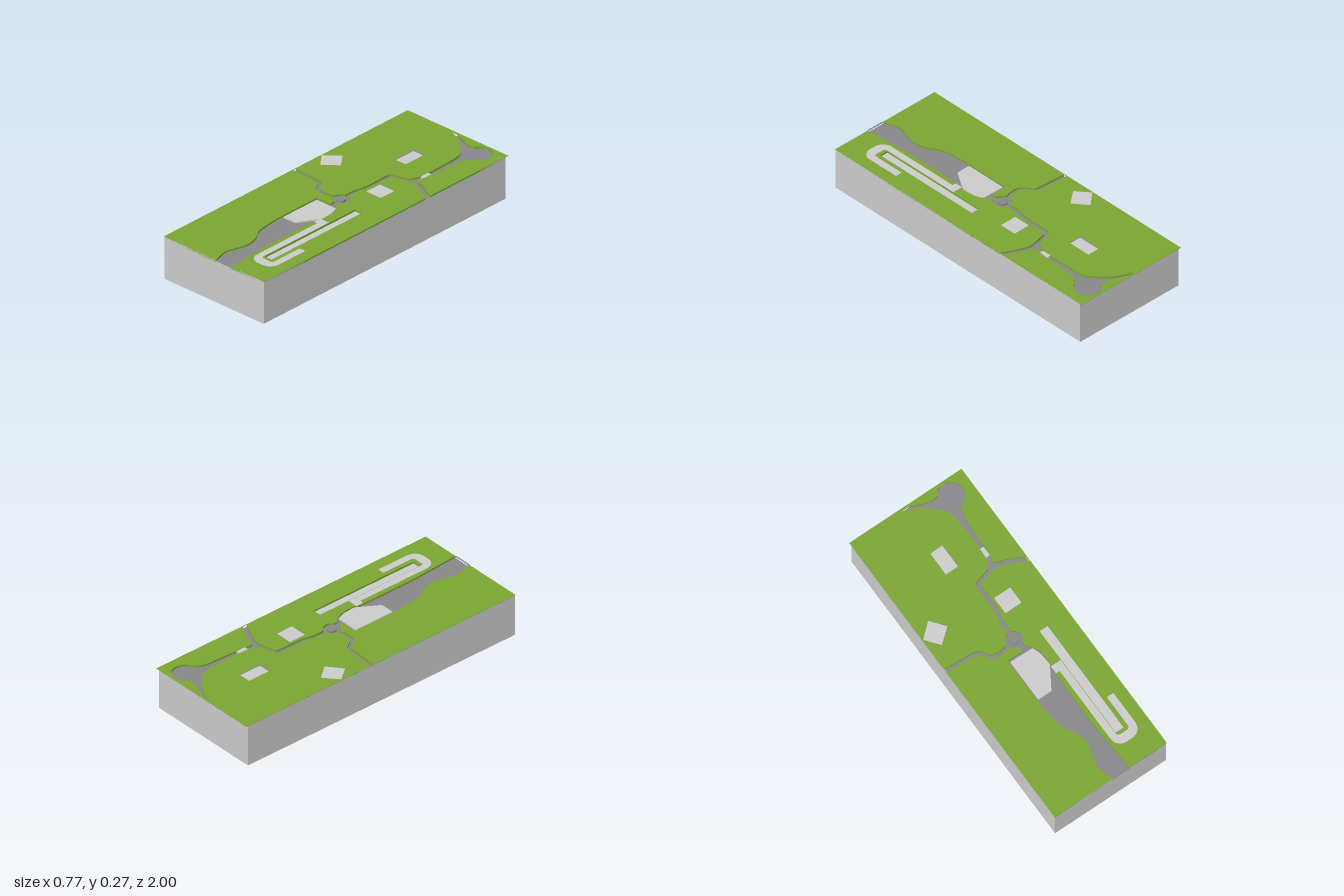
import * as THREE from 'three';

const mat = (name, color) => {
  const m = new THREE.MeshStandardMaterial({ color });
  m.name = name;
  return m;
};

// ground levels
const FLOOR = 0.258, TOP = 0.271, PIT = 0.16;
const X = 0.38, BACK = -0.985, FRONT = 0.995;

const rect = (x0, z0, x1, z1) => [[x0, z0], [x1, z0], [x1, z1], [x0, z1]];
const arc = (cx, cz, r, a0, a1, n = 8) => Array.from({ length: n + 1 }, (_, i) => {
  const a = THREE.MathUtils.degToRad(a0 + (a1 - a0) * i / n);
  return [cx + r * Math.cos(a), cz + r * Math.sin(a)];
});
// smooth line through a few plan points
const smooth = (pts, n = 4) => new THREE.SplineCurve(pts.map(p => new THREE.Vector2(...p)))
  .getPoints((pts.length - 1) * n).map(p => [p.x, p.y]);

// plan outline [x, z] raised from y0 to y1
function slab(name, outline, y0, y1, material, holes = []) {
  const v = pts => pts.map(([x, z]) => new THREE.Vector2(x, -z));
  const shape = new THREE.Shape(v(outline));
  holes.forEach(h => shape.holes.push(new THREE.Path(v(h))));
  const geo = new THREE.ExtrudeGeometry(shape, { depth: y1 - y0, bevelEnabled: false });
  geo.rotateX(-Math.PI / 2).translate(0, y0, 0);
  const mesh = new THREE.Mesh(geo, material);
  mesh.name = name;
  return mesh;
}

export function createModel() {
  const group = new THREE.Group();
  group.name = 'terrainBlock';
  const stone = mat('light grey', 0xcbcbcb);
  const grass = mat('grass green', 0x7ba532);
  const asphalt = mat('road grey', 0x878688);
  const add = (...args) => group.add(slab(...args));

  // block with a long pit, and a thin rim around the recessed surface
  const pit = rect(0.185, 0.04, 0.24, 0.78);
  const pitOuter = rect(0.183, 0.038, 0.242, 0.782);
  const outer = rect(-X, BACK, X, FRONT);
  const inner = rect(-X + 0.002, BACK + 0.002, X - 0.002, FRONT - 0.002);
  add('baseBottom', outer, 0, PIT, stone);
  add('baseUpper', outer, PIT, FLOOR, stone, [pitOuter]);
  add('baseRim', outer, FLOOR, TOP - 0.002, stone, [inner]);
  add('pitLining', pitOuter, PIT, TOP, grass, [pit]);
  add('roadSurface', inner, FLOOR, FLOOR + 0.001, asphalt, [pitOuter]);
  add('frontRoadEnd', rect(0.015, FRONT - 0.002, 0.13, 1), TOP - 0.004, TOP - 0.001, asphalt);
  add('backGrassLip', rect(-0.384, -1, 0.384, BACK), TOP - 0.002, TOP, grass);
  for (const s of [-1, 1])
    add('sideGrassLip', rect(s * 0.382 - 0.002, BACK, s * 0.382 + 0.002, FRONT), TOP - 0.002, TOP, grass);

  // lawns between the recessed roads
  const house = rect(-0.05, -0.69, 0.035, -0.535);
  const hub = [0.04, 0];
  add('northWestLawn', [
    [-X, BACK],
    ...smooth([[-0.04, BACK], [0.02, -0.962], [0.09, -0.92], [0.16, -0.85], [0.187, -0.79],
      [0.192, -0.68], [0.195, -0.55], [0.18, -0.46], [0.16, -0.425]]),
    ...smooth([[0.09, -0.407], [0.06, -0.395], [0.046, -0.36], [0.046, -0.2], [0.03, -0.12], [0.03, -0.05]]),
    ...arc(...hub, 0.05, -105, -170),
    ...smooth([[-0.02, 0.003], [-0.06, 0.01], [-0.11, 0.005], [-0.14, -0.03], [-0.17, -0.062], [-0.25, -0.072], [-X, -0.08]]),
  ], FLOOR, TOP, grass, [house]);
  add('northEastLawn', [
    ...smooth([[0.01, BACK], [0.06, -0.965], [0.13, -0.94], [0.185, -0.945]]),
    ...arc(0.245, -0.905, 0.08, -130, 65, 16),
    ...smooth([[0.25, -0.805], [0.232, -0.75], [0.225, -0.6], [0.218, -0.5], [0.21, -0.45],
      [0.225, -0.435], [0.28, -0.415], [X, -0.365]]),
    [X, BACK],
  ], FLOOR, TOP, grass);
  add('eastLawn', [
    ...smooth([[X, -0.33], [0.33, -0.36], [0.25, -0.395], [0.2, -0.405], [0.1, -0.385],
      [0.076, -0.36], [0.072, -0.2], [0.055, -0.13], [0.055, -0.055]]),
    ...arc(...hub, 0.05, -70, 55),
    ...smooth([[0.07, 0.07], [0.105, 0.11], [0.122, 0.17], [0.122, 0.24], [0.112, 0.3],
      [0.11, 0.6], [0.115, 0.75], [0.13, FRONT]]),
    [X, FRONT],
  ], FLOOR, TOP, grass, [pitOuter]);
  add('southWestLawn', [
    ...smooth([[-X, -0.057], [-0.25, -0.05], [-0.18, -0.042], [-0.155, -0.015], [-0.12, 0.027], [-0.06, 0.033], [-0.01, 0.022]]),
    ...arc(...hub, 0.05, 152, 95),
    [0.038, 0.085], [-0.063, 0.085],
    ...smooth([[-0.063, 0.42], [-0.045, 0.57], [0, 0.65], [0.02, 0.73], [0.01, 0.79], [-0.015, 0.88], [0, 0.95], [0.015, FRONT]]),
    [-X, FRONT],
  ], FLOOR, TOP, grass);

  // roundabout ring and island
  add('roundaboutIsland', arc(...hub, 0.028, 0, 345, 23), FLOOR, TOP, asphalt);

  // light building plots
  add('housePlot', house, FLOOR, FLOOR + 0.003, stone);
  add('squarePlot', rect(0.09, -0.265, 0.2, -0.155), TOP - 0.002, TOP + 0.001, stone);
  add('turnedPlot', [[-0.378, -0.29], [-0.29, -0.367], [-0.22, -0.278], [-0.31, -0.205]],
    TOP - 0.002, TOP + 0.001, stone);
  add('yardPlot', [[-0.055, 0.097], [0.095, 0.1], [0.113, 0.15], [0.12, 0.235], [0.035, 0.37], [-0.055, 0.37]],
    FLOOR, TOP - 0.004, stone);
  add('bridge', rect(0.193, -0.55, 0.218, -0.488), FLOOR, TOP, stone);

  // hooked lane wrapping the end of the pit
  add('hookedLane', [
    [0.115, 0.25], [0.182, 0.25], [0.182, 0.78],
    ...arc(0.2, 0.785, 0.018, 180, 90, 5),
    ...arc(0.248, 0.785, 0.018, 90, 0, 5),
    [0.266, 0.58], [0.31, 0.58],
    ...arc(0.245, 0.795, 0.065, 0, 90),
    ...arc(0.205, 0.795, 0.065, 90, 180),
    [0.14, 0.3], [0.115, 0.3],
  ], TOP - 0.002, TOP + 0.001, stone);

  return group;
}
